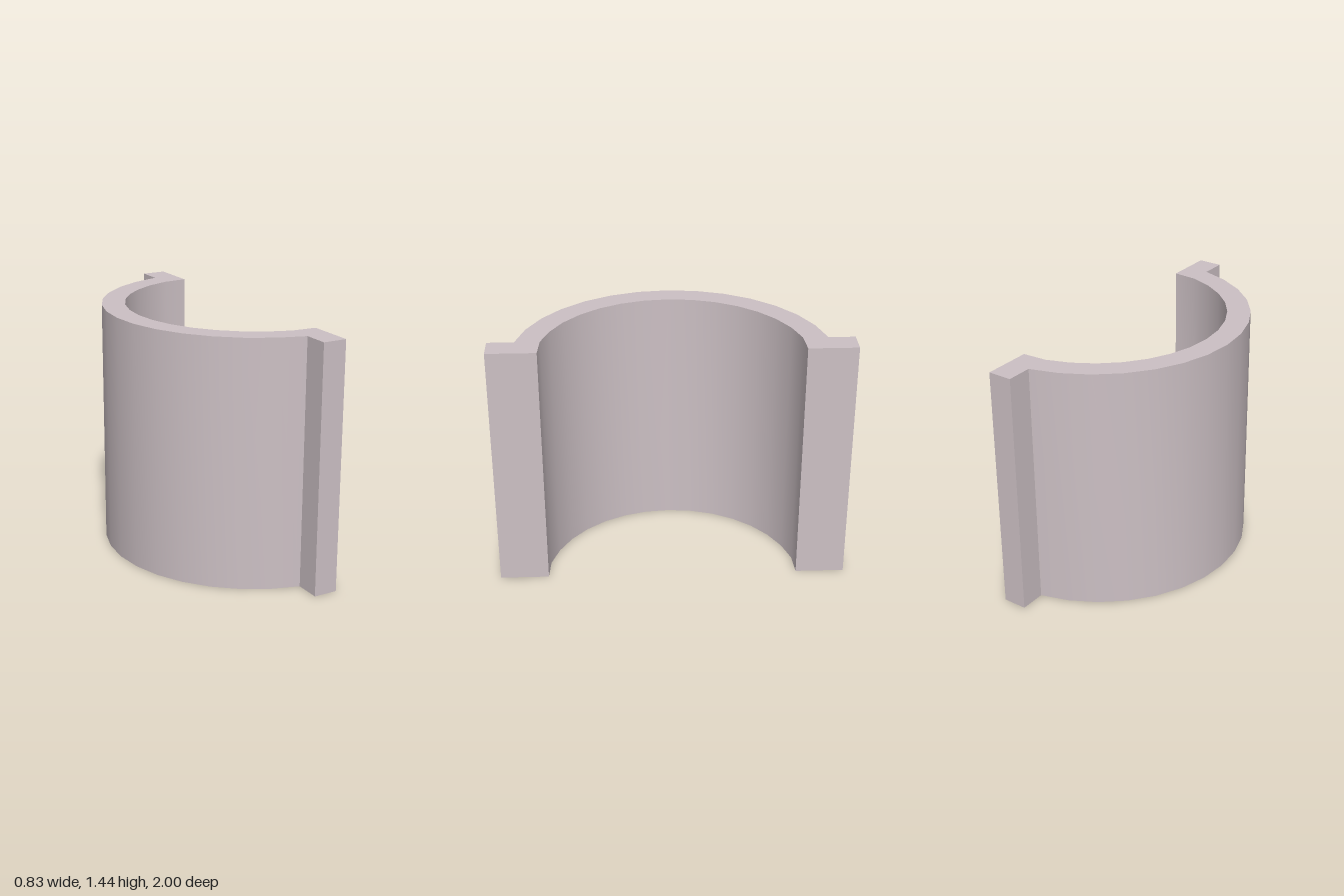
import * as THREE from 'three';
import { toCreasedNormals } from 'three/addons/utils/BufferGeometryUtils.js';

const HEIGHT = 1.44;
const CENTRE_X = 0.455; // axis of the curved wall
const OUTER_R = 0.87;
const INNER_R = 0.735;
const FLANGE_BACK = 0.275;
const FLANGE_FACE = 0.415;
const STEPS = 7; // facets per quarter

// Arc from one flange to the other around the -x side
function arc(radius) {
  const end = Math.acos((CENTRE_X - FLANGE_BACK) / radius);
  const points = [];
  for (let i = -STEPS; i <= STEPS; i++) {
    const a = (end * i) / STEPS;
    points.push(new THREE.Vector2(CENTRE_X - radius * Math.cos(a), radius * Math.sin(a)));
  }
  return points;
}

// A flange corner pair on one side
function flange(side) {
  return [
    new THREE.Vector2(FLANGE_BACK, side),
    new THREE.Vector2(FLANGE_FACE, side),
    new THREE.Vector2(FLANGE_FACE, side * 0.722),
  ];
}

export function createModel() {
  const group = new THREE.Group();
  group.name = 'halfClamp';

  const material = new THREE.MeshStandardMaterial({ color: 0xccc0c4 });
  material.name = 'pale mauve grey';

  // Closed plan outline: outer arc, flange, inner arc back, other flange
  const outline = [
    ...arc(OUTER_R),
    ...flange(1),
    ...arc(INNER_R).reverse(),
    ...flange(-1).reverse(),
  ];

  // Curved wall with its two flanges, raised from the ground
  const solid = new THREE.ExtrudeGeometry(new THREE.Shape(outline), {
    depth: HEIGHT,
    bevelEnabled: false,
  });
  solid.rotateX(-Math.PI / 2);

  const shell = new THREE.Mesh(toCreasedNormals(solid, 0.4), material);
  shell.name = 'flangedHalfShell';
  group.add(shell);
  return group;
}
